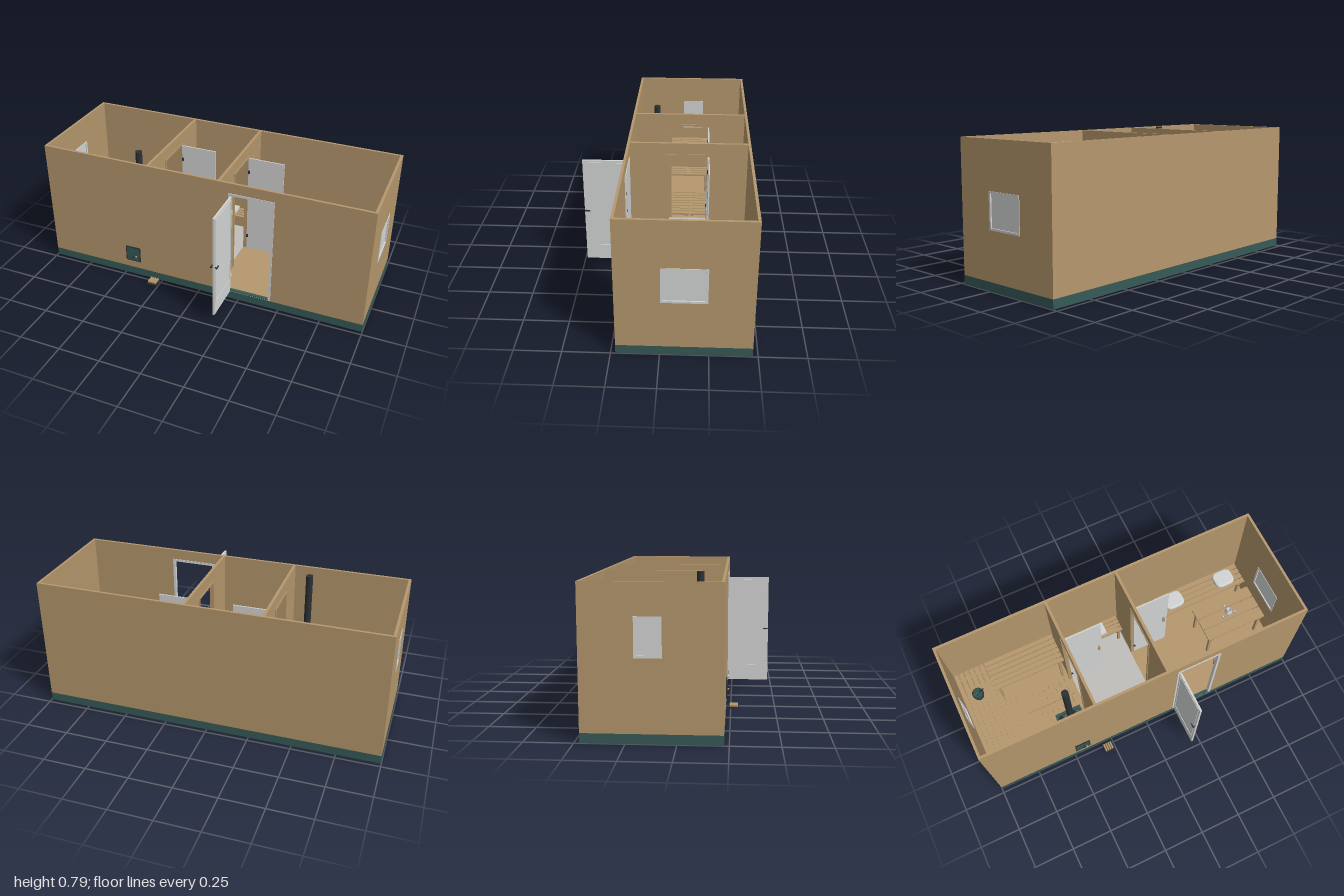
import * as THREE from 'three';
import { RoundedBoxGeometry } from 'three/addons/geometries/RoundedBoxGeometry.js';

const mat = (name, color) => {
  const m = new THREE.MeshStandardMaterial({ color });
  m.name = name;
  return m;
};

export function createModel() {
  const root = new THREE.Group();
  root.name = 'saunaCabin';
  const wood = mat('wood', 0xb5976d);
  const green = mat('darkGreen', 0x365a57);
  const white = mat('paleGrey', 0xd3d5d4);
  const tile = mat('tileGrey', 0xbfbeba);
  const dark = mat('blackIron', 0x2c3134);
  const stone = mat('stone', 0x555b5b);

  const add = (name, geo, m, x = 0, y = 0, z = 0, parent = root) => {
    const mesh = new THREE.Mesh(geo, m);
    mesh.name = name;
    mesh.position.set(x, y, z);
    parent.add(mesh);
    return mesh;
  };
  // Box given by its minimum and maximum on each axis
  const box = (name, m, x0, x1, y0, y1, z0, z1, parent = root) =>
    add(name, new THREE.BoxGeometry(x1 - x0, y1 - y0, z1 - z0), m,
      (x0 + x1) / 2, (y0 + y1) / 2, (z0 + z1) / 2, parent);
  const group = (name) => {
    const g = new THREE.Group();
    g.name = name;
    root.add(g);
    return g;
  };
  const rect = (P, a0, a1, b0, b1) => {
    const p = new P();
    p.moveTo(a0, b0); p.lineTo(a1, b0); p.lineTo(a1, b1); p.lineTo(a0, b1);
    p.closePath();
    return p;
  };
  // Flat panel with rectangular holes: along x, or along z when side is set
  const panel = (name, m, outer, holes, depth, at, side = false) => {
    const flip = ([a0, a1, b0, b1]) => (side ? [-a1, -a0, b0, b1] : [a0, a1, b0, b1]);
    const shape = rect(THREE.Shape, ...flip(outer));
    holes.forEach((h) => shape.holes.push(rect(THREE.Path, ...flip(h))));
    const geo = new THREE.ExtrudeGeometry(shape, { depth, bevelEnabled: false });
    if (side) geo.rotateY(Math.PI / 2);
    return add(name, geo, m, side ? at : 0, 0, side ? 0 : at);
  };

  // Base and floors
  const X = 0.997, ZB = -0.473, ZF = 0.225, T = 0.015, F = 0.053, H = 0.783;
  box('base', green, -X, X, 0, 0.05, ZB, ZF);
  box('woodFloor', wood, -X + T, X - T, 0.05, F, ZB + T, ZF - T);
  box('tileFloor', tile, -0.312, 0.108, F, 0.056, ZB + T, ZF - T);

  // Outer walls
  const doorHole = [0.185, 0.445, 0.05, 0.718];
  panel('frontWall', wood, [-X, X, 0.05, H], [doorHole], T, ZF - T);
  panel('backWall', wood, [-X, X, 0.05, H], [], T, ZB);
  const windows = [
    { name: 'right', at: X - T, hole: [-0.24, -0.005, 0.32, 0.52] },
    { name: 'left', at: -X, hole: [-0.205, -0.07, 0.42, 0.62] },
  ];
  windows.forEach(({ name, at, hole }) => {
    const [a, b, c, d] = hole, w = 0.012;
    panel(name + 'Wall', wood, [ZB + T, ZF - T, 0.05, H], [hole], T, at, true);
    panel(name + 'WindowFrame', white, hole, [[a + w, b - w, c + w, d - w]], T + 0.006, at - 0.003, true);
    box(name + 'WindowPane', white, at + 0.004, at + 0.011, c + w, d - w, a + w, b - w);
  });

  // Partitions, each with a doorway and an open door
  [-0.32, 0.12].forEach((x) => {
    const hole = [-0.235, -0.01, 0.056, 0.705];
    panel('partition', wood, [ZB + T, ZF - T, 0.05, H], [hole], 0.016, x - 0.008, true);
    panel('doorwayTrim', wood, [-0.247, 0.002, 0.056, 0.717], [hole], 0.024, x - 0.012, true);
    box('innerDoor', white, x + 0.01, x + 0.235, 0.06, 0.703, -0.242, -0.234);
    [-0.248, -0.228].forEach((z) =>
      box('innerDoorHandle', wood, x + 0.205, x + 0.217, 0.36, 0.41, z - 0.006, z + 0.006));
    [0.14, 0.6].forEach((y) => box('innerDoorHinge', dark, x + 0.008, x + 0.02, y, y + 0.02, -0.246, -0.23));
  });

  // Entrance frame, threshold and open door
  panel('entranceFrame', white, [0.18, 0.45, F, 0.722], [[0.194, 0.436, F + 0.001, 0.708]], T + 0.006, ZF - T - 0.003);
  box('threshold', green, 0.185, 0.445, 0.05, 0.06, ZF - T - 0.004, ZF + 0.002);
  box('entranceDoor', white, 0.19, 0.202, 0.057, 0.703, 0.229, 0.474);
  [0.187, 0.202].forEach((x) =>
    panel('entranceDoorMoulding', white, [0.237, 0.46, 0.145, 0.69], [[0.243, 0.454, 0.151, 0.684]], 0.003, x, true));
  box('entranceDoorHandle', dark, 0.178, 0.214, 0.381, 0.387, 0.462, 0.468);
  [0.176, 0.21].forEach((x) => box('entranceDoorLever', dark, x, x + 0.006, 0.381, 0.388, 0.442, 0.472));
  [0.16, 0.59].forEach((y) => box('entranceHinge', white, 0.2, 0.207, y, y + 0.025, 0.225, 0.24));

  // Slatted bench: boards along x or z, legs and rails below
  const bench = (name, x0, x1, z0, z1, top, n, alongZ = false, legs = true) => {
    const g = group(name), gap = 0.007, th = 0.012;
    const span = alongZ ? x1 - x0 : z1 - z0;
    const step = (span + gap) / n;
    for (let i = 0; i < n; i++) {
      const a = (alongZ ? x0 : z0) + i * step, b = a + step - gap;
      if (alongZ) box('slat', wood, a, b, top - th, top, z0, z1, g);
      else box('slat', wood, x0, x1, top - th, top, a, b, g);
    }
    const low = legs ? top - th - 0.02 : F;
    [0.06, 0.94].forEach((t) => {
      const cx = x0 + (x1 - x0) * t, cz = z0 + (z1 - z0) * t;
      if (alongZ) box('rail', wood, x0, x1, low, top - th, cz - 0.008, cz + 0.008, g);
      else box('rail', wood, cx - 0.008, cx + 0.008, low, top - th, z0, z1, g);
      if (legs) [0.1, 0.9].forEach((u) => {
        const lx = alongZ ? x0 + (x1 - x0) * u : cx, lz = alongZ ? cz : z0 + (z1 - z0) * u;
        box('leg', wood, lx - 0.008, lx + 0.008, F, low, lz - 0.008, lz + 0.008, g);
      });
    });
  };
  // Hot room
  bench('upperSideBench', -0.98, -0.79, -0.457, 0.208, 0.34, 6, true);
  bench('upperBackBench', -0.785, -0.332, -0.457, -0.265, 0.34, 6);
  bench('lowerBench', -0.785, -0.665, -0.26, 0.208, 0.2, 4, true);
  bench('duckboardBack', -0.66, -0.335, -0.255, -0.135, 0.075, 9, true, false);
  bench('duckboardFront', -0.66, -0.335, -0.128, 0.205, 0.075, 9, true, false);
  // Washing room
  bench('changingBenchBack', -0.305, 0.104, -0.457, -0.352, 0.2, 4);
  bench('changingBenchFront', -0.305, 0.104, 0.09, 0.208, 0.2, 4);
  [-0.405, 0.148].forEach((z) => box('towel', white, -0.082, 0.002, 0.2, 0.222, z - 0.038, z + 0.038));
  // Lounge
  bench('loungeBenchBack', 0.37, 0.978, -0.457, -0.315, 0.2, 4);
  bench('loungeBenchFront', 0.54, 0.978, 0.06, 0.206, 0.2, 4);
  bench('table', 0.545, 0.94, -0.24, -0.01, 0.29, 3);
  bench('sideTable', 0.145, 0.325, -0.457, -0.312, 0.2, 1);
  box('foldedTowel', white, 0.195, 0.275, 0.2, 0.225, -0.425, -0.35);

  // Cushions with rounded outlines
  const cushionShape = new THREE.Shape(
    Array.from({ length: 32 }, (_, i) => {
      const t = (i / 32) * Math.PI * 2, c = Math.cos(t), s = Math.sin(t);
      return new THREE.Vector2(0.056 * Math.sign(c) * Math.abs(c) ** 0.5, 0.046 * Math.sign(s) * Math.abs(s) ** 0.5);
    }));
  const cushionGeo = new THREE.ExtrudeGeometry(cushionShape,
    { depth: 0.012, bevelSize: 0.009, bevelThickness: 0.009, bevelSegments: 3 });
  cushionGeo.rotateX(-Math.PI / 2);
  [[0.487, -0.387], [0.853, -0.387], [0.628, 0.13]].forEach(([x, z]) => add('cushion', cushionGeo, white, x, 0.209, z));

  // Jug and cups on the table
  const lathe = (pts) => new THREE.LatheGeometry(pts.map((p) => new THREE.Vector2(...p)), 20);
  add('jug', lathe([[0, 0], [0.018, 0], [0.024, 0.02], [0.013, 0.045], [0.017, 0.055], [0.011, 0.053], [0, 0.03]]), white, 0.742, 0.29, -0.128);
  [[0.7, -0.108], [0.782, -0.108], [0.742, -0.17]].forEach(([x, z]) =>
    add('cup', lathe([[0, 0], [0.007, 0], [0.009, 0.02], [0.007, 0.019], [0, 0.004]]), white, x, 0.29, z));

  // Pails: wooden one in the washing room, dark one on the upper bench
  const pail = (name, m, x, y, z, r) => {
    const g = group(name);
    g.position.set(x, y, z);
    add('pailBody', lathe([[0, 0], [r * 0.85, 0], [r, 0.05], [r * 0.88, 0.05], [r * 0.75, 0.006], [0, 0.006]]), m, 0, 0, 0, g);
    add('pailHoop', new THREE.TorusGeometry(r * 0.96, 0.002, 6, 24).rotateX(Math.PI / 2), dark, 0, 0.03, 0, g);
    add('pailHandle', new THREE.TorusGeometry(r * 0.95, 0.002, 6, 16, Math.PI), dark, 0, 0.05, 0, g);
  };
  pail('washPail', wood, -0.265, 0.2, 0.148, 0.04);
  pail('waterPail', green, -0.885, 0.34, -0.275, 0.034);
  const ladle = add('ladle', new THREE.CylinderGeometry(0.003, 0.003, 0.08, 8), dark, -0.87, 0.39, -0.275);
  ladle.rotation.z = -0.7;

  // Stove with stones, flue and firing tunnel
  const sx = -0.44, sz = 0.09;
  box('stoveBody', green, sx - 0.07, sx + 0.07, 0.075, 0.25, sz - 0.06, sz + 0.06);
  const rim = [[-0.08, 0.08, -0.07, -0.058], [-0.08, 0.08, 0.058, 0.07], [-0.08, -0.068, -0.058, 0.058], [0.068, 0.08, -0.058, 0.058]];
  rim.forEach(([a, b, c, d]) => box('stoveRim', green, sx + a, sx + b, 0.22, 0.29, sz + c, sz + d));
  const stoneGeo = new THREE.DodecahedronGeometry(0.016);
  for (let i = 0; i < 5; i++) for (let j = 0; j < 4; j++) {
    const s = add('stoveStone', stoneGeo, (i + j) % 3 ? stone : dark,
      sx - 0.052 + i * 0.026, 0.268 + ((i * 3 + j * 5) % 4) * 0.005, sz - 0.042 + j * 0.028);
    s.rotation.set(i * 1.3, j * 1.7, i + j);
  }
  add('flue', new THREE.CylinderGeometry(0.02, 0.02, 0.53, 20), dark, sx, 0.523, sz - 0.005);
  box('firingTunnel', dark, sx - 0.042, sx + 0.042, 0.105, 0.195, sz + 0.06, ZF + 0.001);
  panel('hatchFrame', dark, [-0.488, -0.392, 0.1, 0.2], [[-0.483, -0.397, 0.105, 0.195]], 0.006, ZF);
  box('hatchDoor', green, -0.483, -0.397, 0.105, 0.195, ZF, ZF + 0.005);
  const handle = box('hatchHandle', dark, -0.445, -0.415, 0.13, 0.136, ZF + 0.005, ZF + 0.013);
  handle.rotation.z = 0.4;
  add('hatchKnob', new THREE.SphereGeometry(0.006, 12, 8), wood, -0.418, 0.139, ZF + 0.012);

  // Firewood tray outside
  box('woodTray', dark, -0.321, -0.259, 0, 0.01, 0.238, 0.296);
  for (let i = 0; i < 4; i++)
    add('firewood', new RoundedBoxGeometry(0.011, 0.014, 0.048, 2, 0.003), wood, -0.311 + i * 0.014, 0.017, 0.267);

  return root;
}
